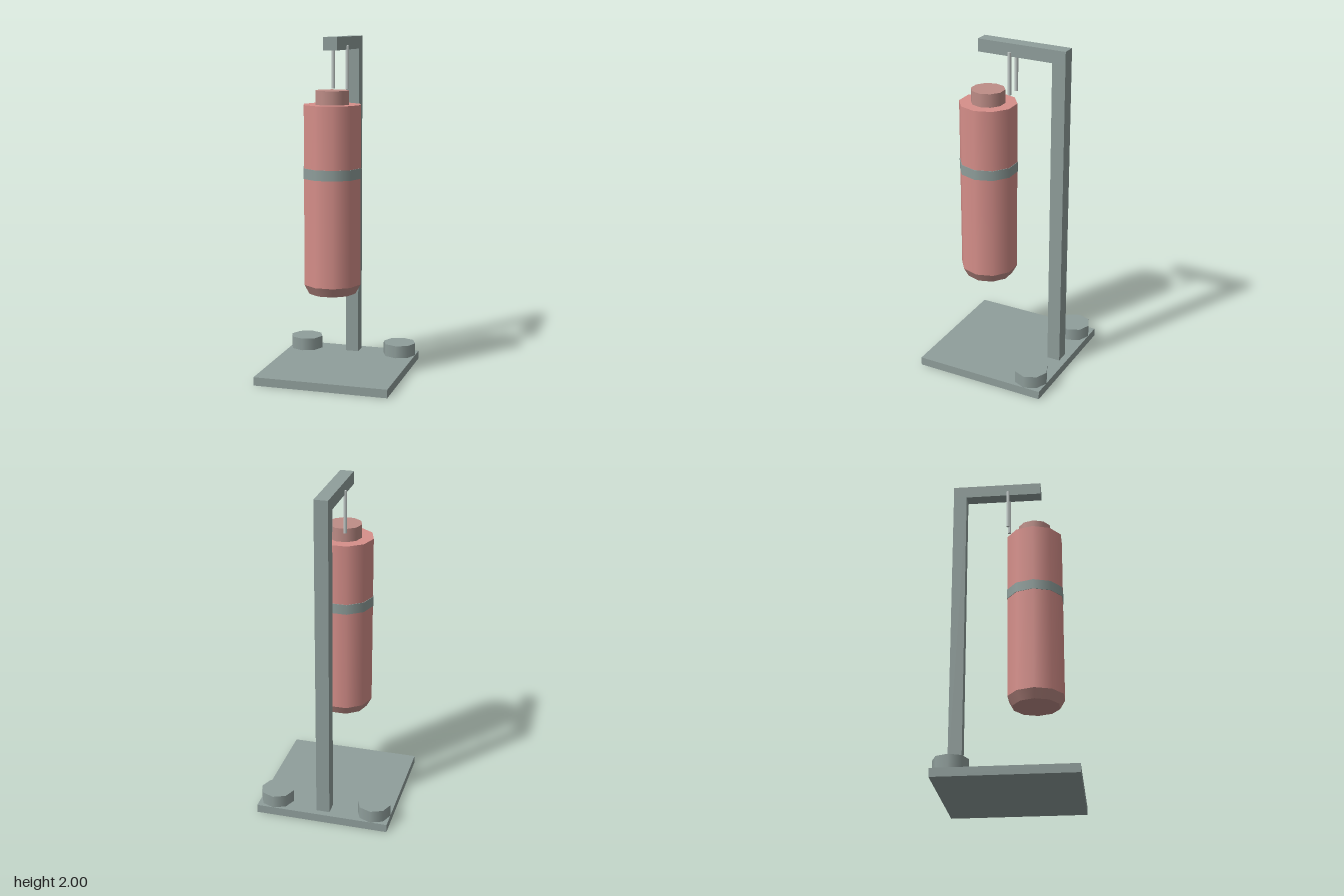
import * as THREE from 'three';

const material = (name, color) => {
  const m = new THREE.MeshStandardMaterial({ color });
  m.name = name;
  return m;
};

export function createModel() {
  const model = new THREE.Group();
  model.name = 'punchingBagStand';

  const steel = material('steelGrey', 0x8f9e9b);
  const leather = material('redLeather', 0xd68f8a);
  const endLeather = material('mutedRed', 0xbe8d87);
  const strapGrey = material('lightGrey', 0xc4ccca);

  const add = (parent, name, geometry, mat) => {
    const mesh = new THREE.Mesh(geometry, mat);
    mesh.name = name;
    parent.add(mesh);
    return mesh;
  };

  // Box given by its ranges along each axis
  const box = (name, x0, x1, y0, y1, z0, z1) => {
    const mesh = add(model, name, new THREE.BoxGeometry(x1 - x0, y1 - y0, z1 - z0), steel);
    mesh.position.set((x0 + x1) / 2, (y0 + y1) / 2, (z0 + z1) / 2);
  };

  // Upright cylinder with corners on the x axis
  const cylinder = (parent, name, rTop, rBottom, y0, y1, sides, mat) => {
    const geometry = new THREE.CylinderGeometry(rTop, rBottom, y1 - y0, sides, 1, false, Math.PI / 2);
    const mesh = add(parent, name, geometry, mat);
    mesh.position.y = (y0 + y1) / 2;
    return mesh;
  };

  // Stand
  box('basePlate', -0.4, 0.4, 0, 0.05, -0.4, 0.4);
  box('post', -0.04, 0.04, 0.05, 1.925, -0.36, -0.28);
  box('arm', -0.04, 0.04, 1.925, 2, -0.36, 0.18);

  // Weights at the back corners and hanging rods under the arm
  for (const [side, s] of [['left', 1], ['right', -1]]) {
    cylinder(model, side + 'Weight', 0.1, 0.1, 0.05, 0.125, 8, steel).position.set(s * 0.3, 0.0875, -0.3);
    const rod = cylinder(model, side + 'Rod', 0.01, 0.01, 1.7, 1.95, 6, strapGrey);
    rod.position.x = s * 0.042;
    rod.position.z = -0.02;
  }

  // Bag
  const bag = new THREE.Group();
  bag.name = 'bag';
  bag.position.z = 0.14;
  model.add(bag);
  cylinder(bag, 'bagBody', 0.17, 0.17, 0.58, 1.62, 10, leather);
  cylinder(bag, 'bagBottom', 0.17, 0.14, 0.525, 0.58, 10, endLeather);
  cylinder(bag, 'bagCap', 0.1, 0.1, 1.62, 1.7, 10, endLeather);
  cylinder(bag, 'bagBand', 0.173, 0.173, 1.2, 1.26, 10, steel);

  return model;
}
